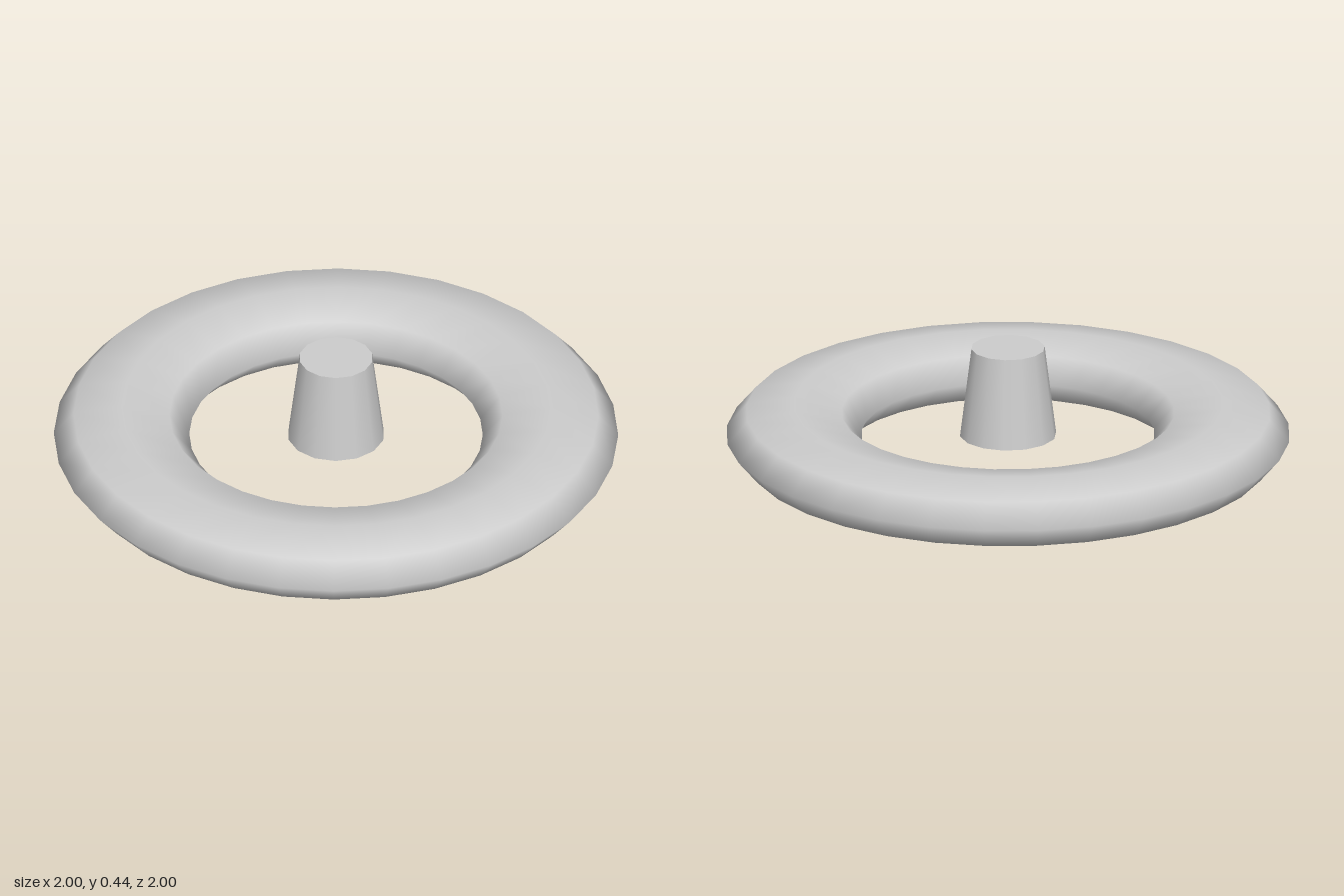
import * as THREE from 'three';

export function createModel() {
  const model = new THREE.Group();
  const grey = new THREE.MeshStandardMaterial({ color: 0xcccccc });
  grey.name = 'light grey';

  // Smooth flattened ring with an eight-sided section
  const halfHeight = 0.117;
  const ringGeometry = new THREE.TorusGeometry(0.76, 0.24, 8, 32);
  ringGeometry.rotateX(-Math.PI / 2);
  ringGeometry.scale(1, halfHeight / 0.24, 1);
  const ring = new THREE.Mesh(ringGeometry, grey);
  ring.name = 'ring';
  ring.position.y = halfHeight;
  model.add(ring);

  // Tapered peg floating in the middle, its base level with the ring's centre
  const pegHeight = 0.326;
  const peg = new THREE.Mesh(new THREE.CylinderGeometry(0.131, 0.172, pegHeight, 14), grey);
  peg.name = 'peg';
  peg.position.y = halfHeight + pegHeight / 2;
  model.add(peg);

  return model;
}
